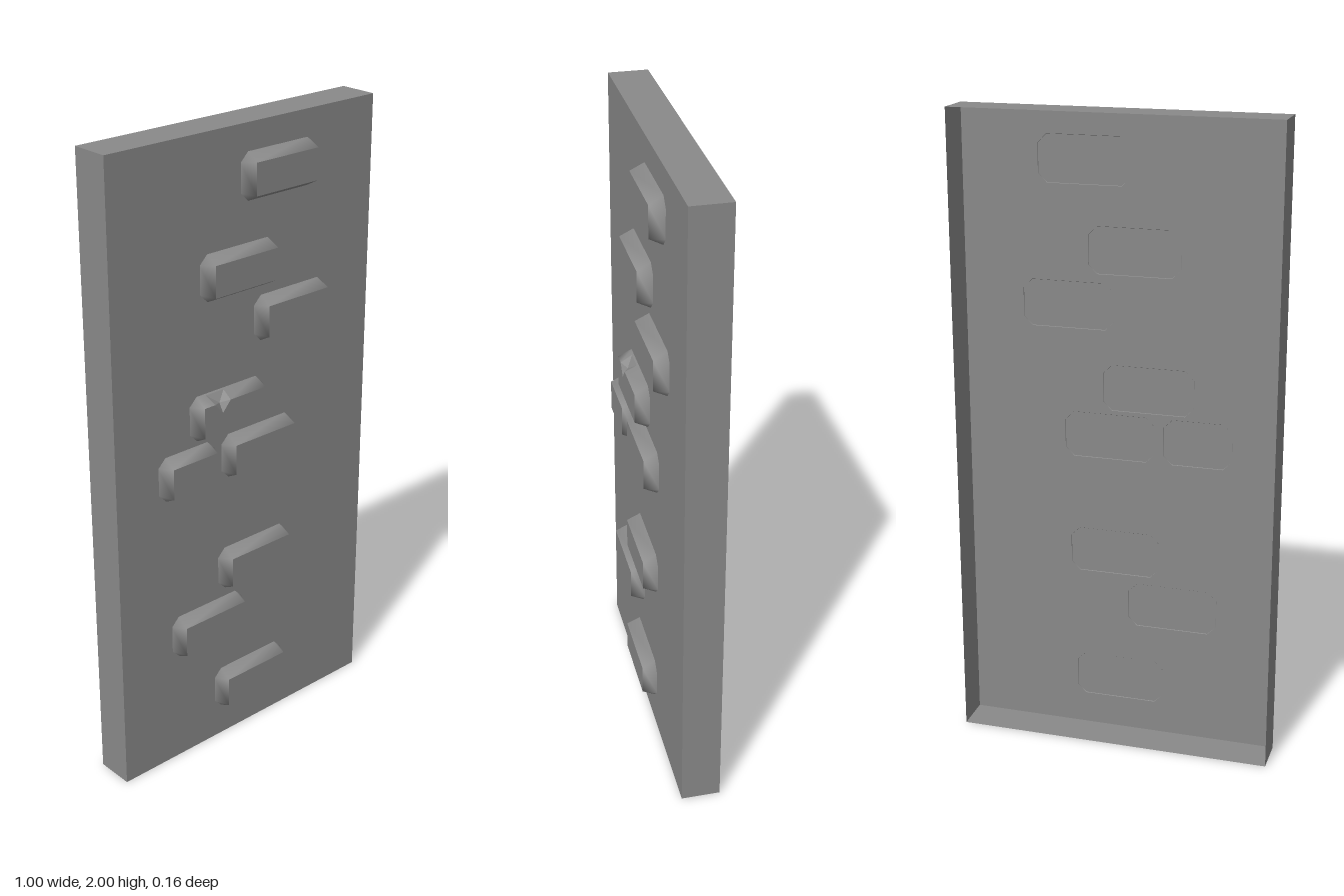
import * as THREE from 'three';
import { mergeGeometries, mergeVertices } from 'three/addons/utils/BufferGeometryUtils.js';

const BACK = -0.082, WALL = 0.04, FRONT = 0.082; // depths of rim, panel and brick faces
const BASE = WALL - 0.002;                       // bricks are set slightly into the panel
const INSET = 0.024, CORNER = 0.028;

const material = new THREE.MeshStandardMaterial({ color: 0x898989, side: THREE.DoubleSide });

// Every brick facet faces forward, so polygons are triangulated in x and y.
function facets(polygons) {
  const positions = [];
  for (const polygon of polygons) {
    const flat = polygon.map(([x, y]) => new THREE.Vector2(x, y));
    for (const triangle of THREE.ShapeUtils.triangulateShape(flat, [])) {
      for (const i of triangle) positions.push(...polygon[i]);
    }
  }
  const geometry = new THREE.BufferGeometry();
  geometry.setAttribute('position', new THREE.Float32BufferAttribute(positions, 3));
  return geometry;
}

function flat(polygons) {
  const geometry = facets(polygons);
  geometry.computeVertexNormals();
  return geometry;
}

function smooth(polygons) {
  const geometry = mergeVertices(facets(polygons));
  geometry.computeVertexNormals();
  return geometry.toNonIndexed();
}

// Raised brick: smooth cut-corner bevel around a flat face, optionally chipped on top.
function brickGeometry(width, height, chipX) {
  const w = width / 2, h = height / 2, iw = w - INSET, ih = h - INSET;
  const base = [
    [w, -h + CORNER], [w, h - CORNER], [w - CORNER, h], [-w + CORNER, h],
    [-w, h - CORNER], [-w, -h + CORNER], [-w + CORNER, -h], [w - CORNER, -h],
  ].map(([x, y]) => [x, y, BASE]);
  const top = [[iw, -ih], [iw, ih], [-iw, ih], [-iw, -ih]].map(([x, y]) => [x, y, FRONT]);

  const face = [...top];
  const sides = [], corners = [];
  for (let i = 0; i < 4; i++) {
    const j = (i + 1) % 4;
    sides.push([base[2 * i], base[2 * i + 1], top[j], top[i]]);
    corners.push([base[2 * i + 1], base[2 * j], top[j]]);
  }
  // Side 0 is the right, corner 0 the upper right, and so on counter-clockwise
  const chip = [];
  if (chipX !== undefined) {
    // Rim of the chip, running from the upper bevel onto the face
    const upper = h - 0.004;
    const z = FRONT - (FRONT - BASE) * (upper - ih) / INSET;
    const left = [chipX - 0.03, ih, FRONT], right = [chipX + 0.03, ih, FRONT];
    const upLeft = [chipX - 0.034, upper, z], upRight = [chipX + 0.034, upper, z];
    const tip = [chipX, h - 0.058, FRONT], centre = [chipX, h - 0.03, 0.066];
    face.splice(2, 0, right, tip, left);
    sides[1] = [base[2], base[3], top[2], left, upLeft, upRight, right, top[1]];
    const rim = [tip, right, upRight, upLeft, left];
    rim.forEach((p, i) => chip.push([p, rim[(i + 1) % rim.length], centre]));
  }
  return mergeGeometries([flat([face, ...chip]), smooth([...sides, ...corners])]);
}

export function createModel() {
  const model = new THREE.Group();
  model.name = 'brickWallPanel';

  // Panel with four thin side walls; the box is left open at the back
  const panelGeometry = new THREE.BoxGeometry(1, 2, WALL - BACK);
  panelGeometry.setIndex([...panelGeometry.index.array].slice(0, 30));
  panelGeometry.clearGroups();
  const panel = new THREE.Mesh(panelGeometry, material);
  panel.name = 'wallPanel';
  panel.position.set(0, 1, (WALL + BACK) / 2);
  model.add(panel);

  // Bricks: centre x, centre y, width, chip position
  const bricks = [
    [0.118, 1.846, 0.286], [-0.036, 1.58, 0.286], [0.17, 1.408, 0.286],
    [-0.081, 1.156, 0.286, -0.05], [-0.237, 0.998, 0.216], [0.041, 0.998, 0.286],
    [0.025, 0.614, 0.286], [-0.163, 0.442, 0.286], [0.008, 0.178, 0.286],
  ];
  for (const [x, y, width, chipX] of bricks) {
    const brick = new THREE.Mesh(brickGeometry(width, 0.145, chipX), material);
    brick.name = chipX === undefined ? 'brick' : 'chippedBrick';
    brick.position.set(x, y, 0);
    model.add(brick);
  }
  return model;
}
